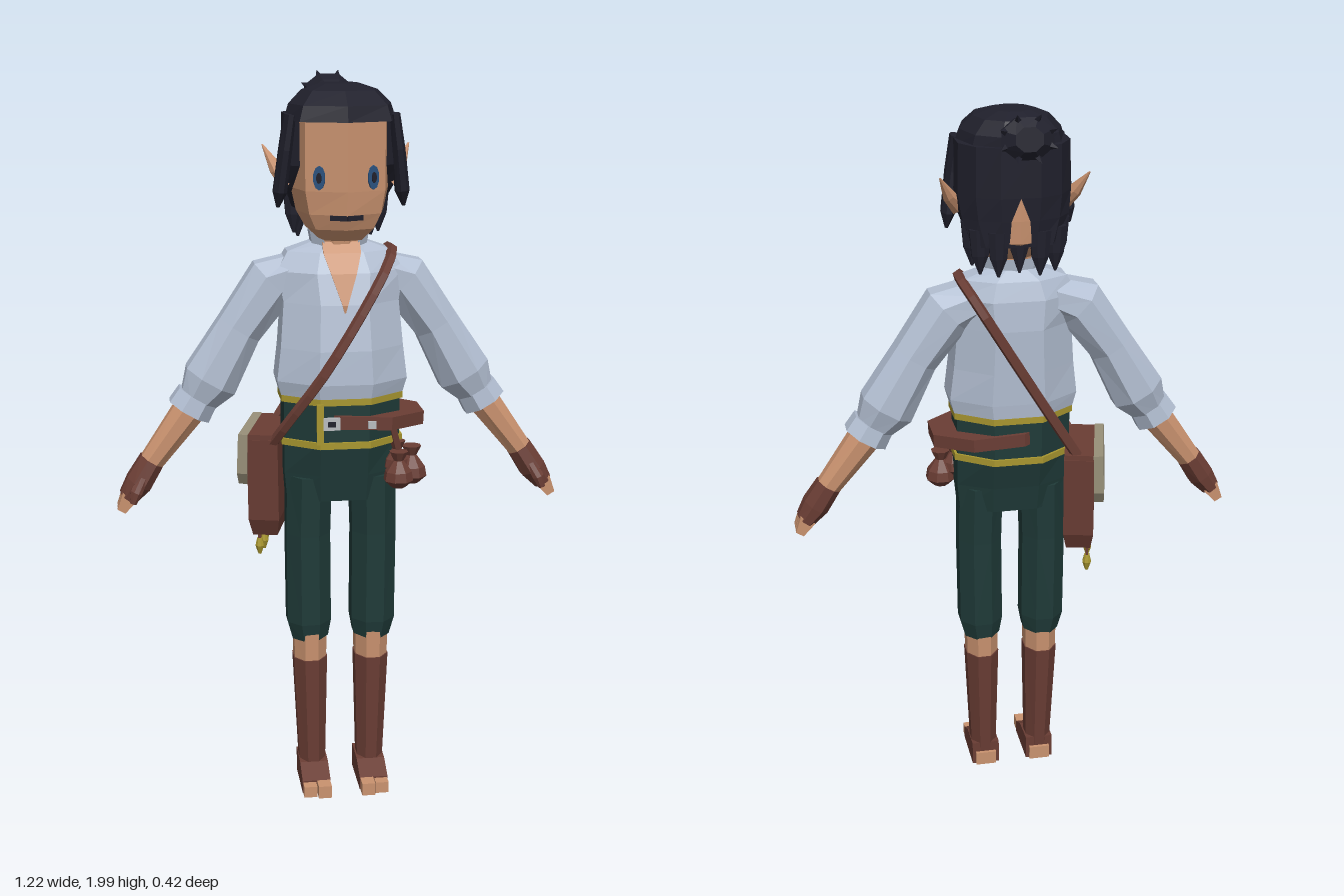
import * as THREE from 'three';

const mat = (name, color, extra = {}) =>
  Object.assign(new THREE.MeshStandardMaterial({ color, ...extra }), { name });

// Outlines are [side, forward] fractions, running front -> left -> back -> right
const OCT = Array.from({ length: 8 }, (_, k) => {
  const a = (k + 0.5) * Math.PI / 4, c = Math.cos(Math.PI / 8);
  return [Math.sin(a) / c, Math.cos(a) / c];
});
const RECT = [[1, 1], [1, -1], [-1, -1], [-1, 1]];
const symmetric = half => half.concat(
  half.filter(p => p[0] > 0).reverse().map(([u, w]) => [-u, w]));
const HEAD = symmetric([[0, 1], [0.8, 0.72], [1, 0], [0.8, -0.65], [0.35, -0.95], [0, -1]]);
const HAIR = symmetric([[0.75, 1], [1, 0.7], [1, -0.2], [0.75, -0.75], [0.35, -1]]);

// Faceted geometry with hard edges
function facet(geo) {
  const g = geo.index ? geo.toNonIndexed() : geo;
  g.computeVertexNormals();
  return g;
}

// Capped solid through rings [x, y, z, sideRadius, depthRadius]
function limb(rings, outline = OCT) {
  const n = outline.length, pos = [], idx = [];
  rings.forEach(([x, y, z, ru, rw], i) => {
    const a = rings[Math.max(i - 1, 0)], b = rings[Math.min(i + 1, rings.length - 1)];
    const len = Math.hypot(b[0] - a[0], b[1] - a[1]);
    const px = (b[1] - a[1]) / len, py = -(b[0] - a[0]) / len;
    for (const [u, w] of outline) pos.push(x + px * ru * u, y + py * ru * u, z + rw * w);
  });
  for (let r = 0; r < rings.length - 1; r++) {
    for (let k = 0; k < n; k++) {
      const a = r * n + k, b = r * n + (k + 1) % n;
      idx.push(a, b, b + n, a, b + n, a + n);
    }
  }
  const t = (rings.length - 1) * n;
  for (let k = 1; k < n - 1; k++) idx.push(0, k + 1, k, t, t + k, t + k + 1);
  const g = new THREE.BufferGeometry();
  g.setAttribute('position', new THREE.Float32BufferAttribute(pos, 3));
  g.setIndex(idx);
  return facet(g);
}

// Mirror across x, keeping faces outward
function mirror(geo) {
  const g = geo.clone(), p = g.attributes.position, a = new THREE.Vector3(), b = new THREE.Vector3();
  g.scale(-1, 1, 1);
  for (let i = 0; i < p.count; i += 3) {
    a.fromBufferAttribute(p, i + 1);
    b.fromBufferAttribute(p, i + 2);
    p.setXYZ(i + 1, b.x, b.y, b.z);
    p.setXYZ(i + 2, a.x, a.y, a.z);
  }
  g.computeVertexNormals();
  return g;
}

const box = (w, h, d, x, y, z) => facet(new THREE.BoxGeometry(w, h, d)).translate(x, y, z);

export function createModel() {
  const model = new THREE.Group();
  model.name = 'adventurer';
  const skin = mat('skin', 0xc9926f), hair = mat('hair', 0x20202c);
  const shirt = mat('shirt cloth', 0xb3bfd2, { side: THREE.DoubleSide });
  const green = mat('green cloth', 0x1f3a38), leather = mat('leather', 0x6a3d34);
  const tan = mat('tan leather', 0x989079), gold = mat('gold trim', 0xa8962f);
  const blue = mat('eye blue', 0x2a527f), steel = mat('buckle steel', 0xb9bcc0);

  const add = (name, geo, m, parent = model) => {
    const mesh = new THREE.Mesh(geo, m);
    mesh.name = name;
    parent.add(mesh);
    return mesh;
  };
  const pair = (name, geo, m) => {
    add(name + 'Left', geo, m);
    add(name + 'Right', mirror(geo), m);
  };

  // Legs and feet
  pair('trouserLeg', limb([[0.087, 0.44, 0.066, 0.05, 0.058], [0.09, 0.49, 0.066, 0.061, 0.066],
    [0.092, 0.75, 0.066, 0.061, 0.068], [0.088, 0.92, 0.066, 0.062, 0.075]]), green);
  add('hips', limb([[0, 0.855, 0.063, 0.15, 0.078], [0, 0.93, 0.063, 0.157, 0.09],
    [0, 1.03, 0.06, 0.157, 0.11]]), green);
  pair('knee', limb([[0.087, 0.36, 0.067, 0.044, 0.057], [0.087, 0.46, 0.067, 0.046, 0.06]]), skin);
  pair('legWrap', limb([[0.083, 0.04, 0.075, 0.036, 0.045], [0.087, 0.38, 0.067, 0.047, 0.061]]), leather);
  const footSide = new THREE.Shape([[0.03, 0], [0.18, 0], [0.18, 0.036], [0.12, 0.065], [0.03, 0.07]]
    .map(([z, y]) => new THREE.Vector2(z, y)));
  pair('foot', facet(new THREE.ExtrudeGeometry(footSide, { depth: 0.08, bevelEnabled: false })
    .translate(0, 0, -0.04).rotateY(-Math.PI / 2).translate(0.082, 0, 0)), leather);
  pair('heel', box(0.06, 0.04, 0.02, 0.082, 0.02, 0.03), skin);
  pair('bigToe', box(0.037, 0.036, 0.045, 0.062, 0.018, 0.197), skin);
  pair('smallToes', box(0.037, 0.032, 0.035, 0.102, 0.016, 0.192), skin);

  // Shirt, collar and neckline
  add('shirtBody', limb([[0, 1.15, 0.06, 0.165, 0.122], [0, 1.19, 0.062, 0.176, 0.128],
    [0, 1.28, 0.058, 0.165, 0.128], [0, 1.40, 0.045, 0.155, 0.12], [0, 1.48, 0.035, 0.17, 0.105],
    [0, 1.53, 0.025, 0.14, 0.08], [0, 1.555, 0.025, 0.07, 0.055]]), shirt);
  add('collar', facet(new THREE.CylinderGeometry(0.085, 0.072, 0.07, 8, 1, true, 0.6, 2 * Math.PI - 1.2)
    .scale(1, 1, 0.85).translate(0, 1.55, 0.035)), shirt);
  add('neck', limb([[0, 1.5, 0.04, 0.05, 0.048], [0, 1.64, 0.05, 0.05, 0.05]]), skin);
  add('openNeckline', limb([[0, 1.38, 0.165, 0.002, 0.004], [0, 1.40, 0.167, 0.007, 0.004],
    [0, 1.48, 0.142, 0.034, 0.004], [0, 1.53, 0.107, 0.05, 0.004],
    [0, 1.557, 0.083, 0.05, 0.004]], RECT), skin);

  // Arms, gloves and fingers
  pair('sleeve', limb([[0.10, 1.475, 0.025, 0.05, 0.07], [0.18, 1.445, 0.02, 0.07, 0.072],
    [0.27, 1.32, 0.02, 0.061, 0.07], [0.35, 1.18, 0.022, 0.074, 0.075], [0.392, 1.118, 0.025, 0.046, 0.05]]), shirt);
  pair('cuff', limb([[0.386, 1.135, 0.025, 0.056, 0.058], [0.41, 1.095, 0.025, 0.06, 0.062]]), shirt);
  pair('forearm', limb([[0.40, 1.11, 0.025, 0.044, 0.043], [0.525, 0.945, 0.03, 0.031, 0.034]]), skin);
  pair('glove', limb([[0.515, 0.96, 0.03, 0.034, 0.038], [0.553, 0.90, 0.037, 0.036, 0.045],
    [0.583, 0.86, 0.037, 0.026, 0.04]]), leather);
  pair('thumb', limb([[0.538, 0.925, 0.06, 0.015, 0.015], [0.56, 0.885, 0.082, 0.016, 0.015],
    [0.57, 0.855, 0.088, 0.009, 0.009]]), leather);
  for (let i = 0; i < 3; i++) {
    const z = 0.012 + i * 0.025;
    pair('finger' + i, limb([[0.578, 0.868, z, 0.022, 0.0115], [0.602, 0.828, z, 0.012, 0.01]], RECT), skin);
  }

  // Sash, trims, belt and buckles
  const band = (name, y, h, r, m) => add(name, limb([[0, y - h / 2, 0.06, 0.158 + r, 0.116 + r],
    [0, y + h / 2, 0.06, 0.158 + r, 0.116 + r]]), m);
  band('sash', 1.085, 0.15, 0, green);
  band('upperTrim', 1.142, 0.018, 0.007, gold);
  band('lowerTrim', 1.022, 0.018, 0.007, gold);
  const belt = band('belt', 1.085, 0.036, 0.012, leather);
  belt.rotation.z = -0.05;
  add('trimTie', box(0.018, 0.11, 0.008, -0.07, 1.085, 0.19), gold);
  add('buckle', box(0.045, 0.034, 0.009, -0.04, 1.087, 0.194), steel);
  add('buckleCentre', box(0.022, 0.014, 0.004, -0.04, 1.087, 0.2), hair);
  add('beltStud', box(0.022, 0.02, 0.009, 0.07, 1.08, 0.19), steel);

  // Pouches on the left hip
  for (const [x, y, z, s] of [[0.145, 0.9, 0.175, 1], [0.19, 0.895, 0.12, 1.05], [0.15, 0.925, 0.12, 0.9]]) {
    add('pouch', limb([[0, 0, 0, 0.018, 0.018], [0, 0.02, 0, 0.038, 0.038], [0, 0.045, 0, 0.034, 0.034],
      [0, 0.075, 0, 0.013, 0.013], [0, 0.1, 0, 0.024, 0.024]]).scale(s, s, s).translate(x, y, z), leather);
  }
  add('pouchCord', limb([[0.155, 0.97, 0.15, 0.008, 0.008], [0.13, 1.07, 0.165, 0.008, 0.008]], RECT), leather);

  // Satchel with flap and hanging charms
  const bag = new THREE.Group();
  bag.name = 'satchel';
  bag.position.set(-0.19, 0, 0.01);
  bag.rotation.y = -0.255;
  model.add(bag);
  add('bagBody', limb([[0, 0.75, 0, 0.034, 0.085], [0, 0.8, 0, 0.042, 0.108], [0, 1.03, 0, 0.042, 0.12]], RECT), leather, bag);
  add('bagFlap', limb([[-0.056, 0.9, 0, 0.013, 0.1], [-0.056, 0.935, 0, 0.014, 0.122],
    [-0.052, 1.045, 0, 0.013, 0.122]], RECT), tan, bag);
  add('bagLid', box(0.082, 0.014, 0.235, 0, 1.037, 0), leather, bag);
  for (const [z, y] of [[-0.07, 0.7], [-0.045, 0.69], [0.03, 0.7]]) {
    add('charmCord', box(0.008, 0.06, 0.008, -0.025, y + 0.04, z), leather, bag);
    add('charm', limb([[-0.025, y - 0.025, z, 0.004, 0.004], [-0.025, y, z, 0.012, 0.012],
      [-0.025, y + 0.022, z, 0.007, 0.007]]), gold, bag);
  }

  // Shoulder strap looping over the left shoulder
  const path = new THREE.CatmullRomCurve3([[-0.19, 1.02, 0.12], [-0.15, 1.09, 0.165], [-0.06, 1.22, 0.198],
    [0.05, 1.39, 0.18], [0.12, 1.5, 0.13], [0.145, 1.53, 0.03], [0.125, 1.5, -0.07], [0.04, 1.36, -0.088],
    [-0.07, 1.18, -0.085], [-0.17, 1.02, -0.085]].map(p => new THREE.Vector3(...p)));
  add('strap', facet(new THREE.TubeGeometry(path, 22, 0.015, 5)), leather);

  // Head, ears and face
  add('head', limb([[0, 1.568, 0.085, 0.06, 0.07], [0, 1.6, 0.075, 0.095, 0.115], [0, 1.64, 0.06, 0.117, 0.146],
    [0, 1.7, 0.06, 0.13, 0.15], [0, 1.9, 0.06, 0.13, 0.15]], HEAD), skin);
  pair('ear', limb([[0.135, 1.71, 0.055, 0.024, 0.022], [0.165, 1.745, 0.03, 0.018, 0.024],
    [0.197, 1.805, -0.015, 0.002, 0.002]]), skin);
  const disc = (w, h) => new THREE.CylinderGeometry(1, 1, 0.006, 10).rotateX(Math.PI / 2).scale(w, h, 1);
  pair('eye', facet(disc(0.016, 0.031).rotateY(0.383).translate(0.07, 1.735, 0.184)), blue);
  pair('pupil', facet(disc(0.007, 0.014).rotateY(0.383).translate(0.071, 1.735, 0.187)), hair);
  pair('mouth', box(0.045, 0.013, 0.009, 0, 0, 0).rotateY(0.4).translate(0.021, 1.633, 0.195), hair);

  // Hair: crown, back, locks and ragged tips
  add('hairCrown', limb([[0, 1.875, 0.064, 0.148, 0.153], [0, 1.915, 0.06, 0.135, 0.148],
    [0, 1.95, 0.05, 0.1, 0.11], [0, 1.966, 0.045, 0.05, 0.06]], HEAD), hair);
  add('hairBack', limb([[0, 1.63, -0.038, 0.118, 0.042], [0, 1.7, 0.002, 0.142, 0.088],
    [0, 1.76, 0.02, 0.15, 0.11], [0, 1.89, 0.02, 0.147, 0.11]], HAIR), hair);
  pair('sideLock', limb([[0.167, 1.65, 0.085, 0.004, 0.006], [0.162, 1.69, 0.09, 0.018, 0.028],
    [0.148, 1.8, 0.1, 0.017, 0.035], [0.135, 1.89, 0.1, 0.015, 0.04]]), hair);
  for (const [x, z, y] of [[0.115, -0.01, 1.57], [0.1, -0.045, 1.555], [0.055, -0.066, 1.55]]) {
    pair('hairTip', limb([[x, y, z, 0.003, 0.003], [x, y + 0.05, z, 0.022, 0.014],
      [x, y + 0.12, z, 0.028, 0.018]]), hair);
  }
  add('hairTipMiddle', limb([[0, 1.56, -0.068, 0.003, 0.003], [0, 1.66, -0.06, 0.035, 0.02]]), hair);

  // Spiky topknot pointing backward
  const knot = new THREE.Group();
  knot.name = 'topknot';
  knot.position.set(0, 1.915, -0.04);
  knot.rotation.x = -Math.PI / 2 + 0.1;
  model.add(knot);
  add('knotBody', limb([[0, 0, 0, 0.045, 0.035], [0, 0.035, 0, 0.032, 0.028], [0, 0.07, 0, 0.055, 0.045],
    [0, 0.13, 0, 0.066, 0.052], [0, 0.155, 0, 0.035, 0.03]]), hair, knot);
  for (let i = 0; i < 8; i++) {
    const a = (i + 0.5) * Math.PI / 4;
    const spike = add('knotSpike', facet(new THREE.ConeGeometry(0.022, 0.06, 4)), hair, knot);
    spike.position.set(Math.sin(a) * 0.06, 0.13, Math.cos(a) * 0.046);
    spike.quaternion.setFromUnitVectors(new THREE.Vector3(0, 1, 0),
      new THREE.Vector3(Math.sin(a), 1.3, Math.cos(a)).normalize());
  }
  return model;
}
